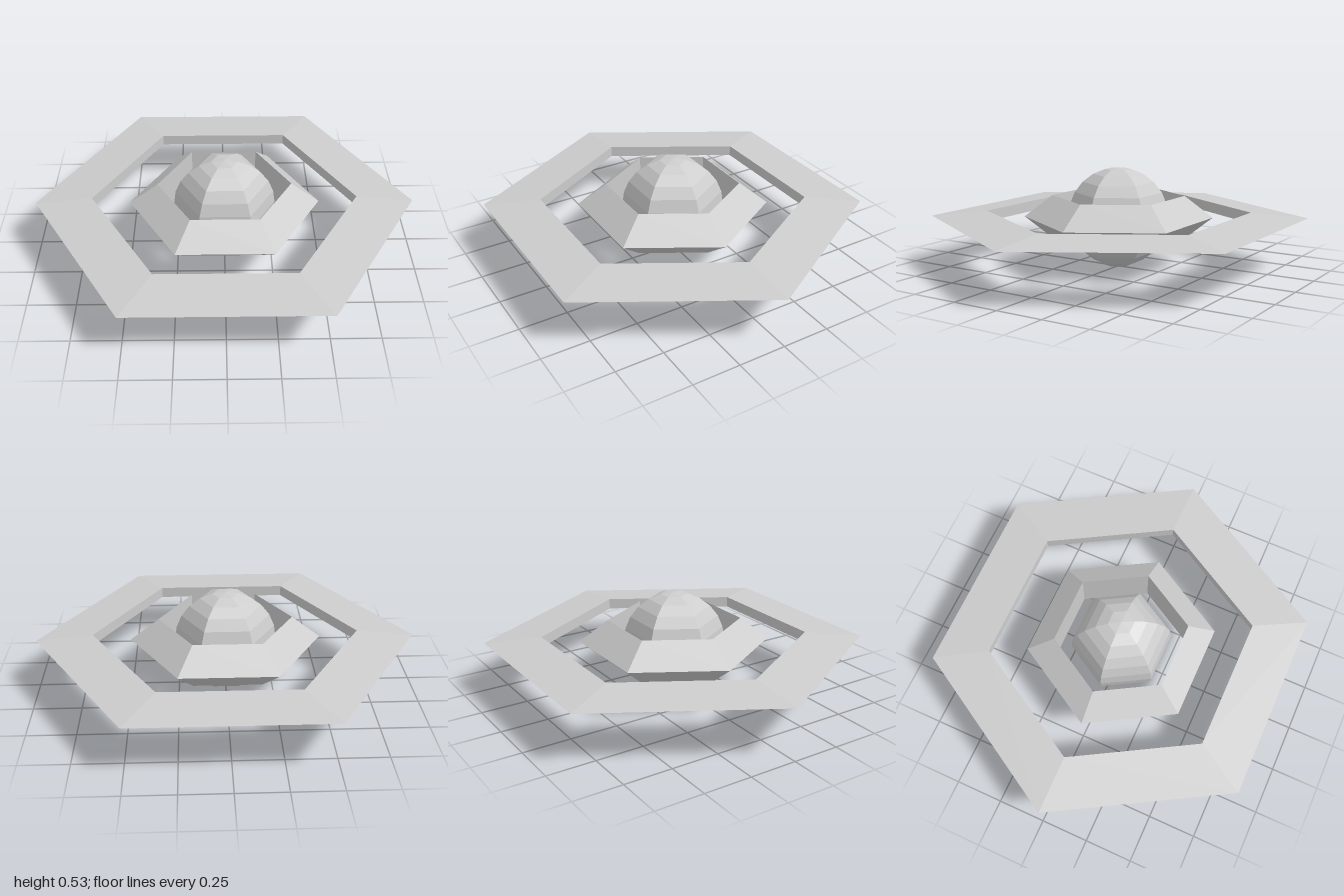
import * as THREE from 'three';

const CENTRE_Y = 0.267;

// Six-sided ring with a triangular section: upright inner wall, sharp outer rim
function hexRing(name, inner, outer, halfHeight, material) {
  const profile = [
    [inner, -halfHeight], [outer, 0], [inner, halfHeight], [inner, -halfHeight],
  ].map(([r, y]) => new THREE.Vector2(r, y));
  const mesh = new THREE.Mesh(new THREE.LatheGeometry(profile, 6, Math.PI / 2), material);
  mesh.name = name;
  mesh.position.y = CENTRE_Y;
  return mesh;
}

export function createModel() {
  const model = new THREE.Group();
  model.name = 'ringedHexagonalCraft';
  const grey = new THREE.MeshStandardMaterial({ color: 0xcccccc, flatShading: true });
  grey.name = 'light grey';

  // Six-sided core globe
  const core = new THREE.Mesh(new THREE.SphereGeometry(0.266, 6, 12), grey);
  core.name = 'core';
  core.position.y = CENTRE_Y;

  model.add(
    core,
    hexRing('innerRing', 0.35, 0.5, 0.116, grey),
    hexRing('outerRing', 0.7, 1, 0.029, grey),
  );
  return model;
}
